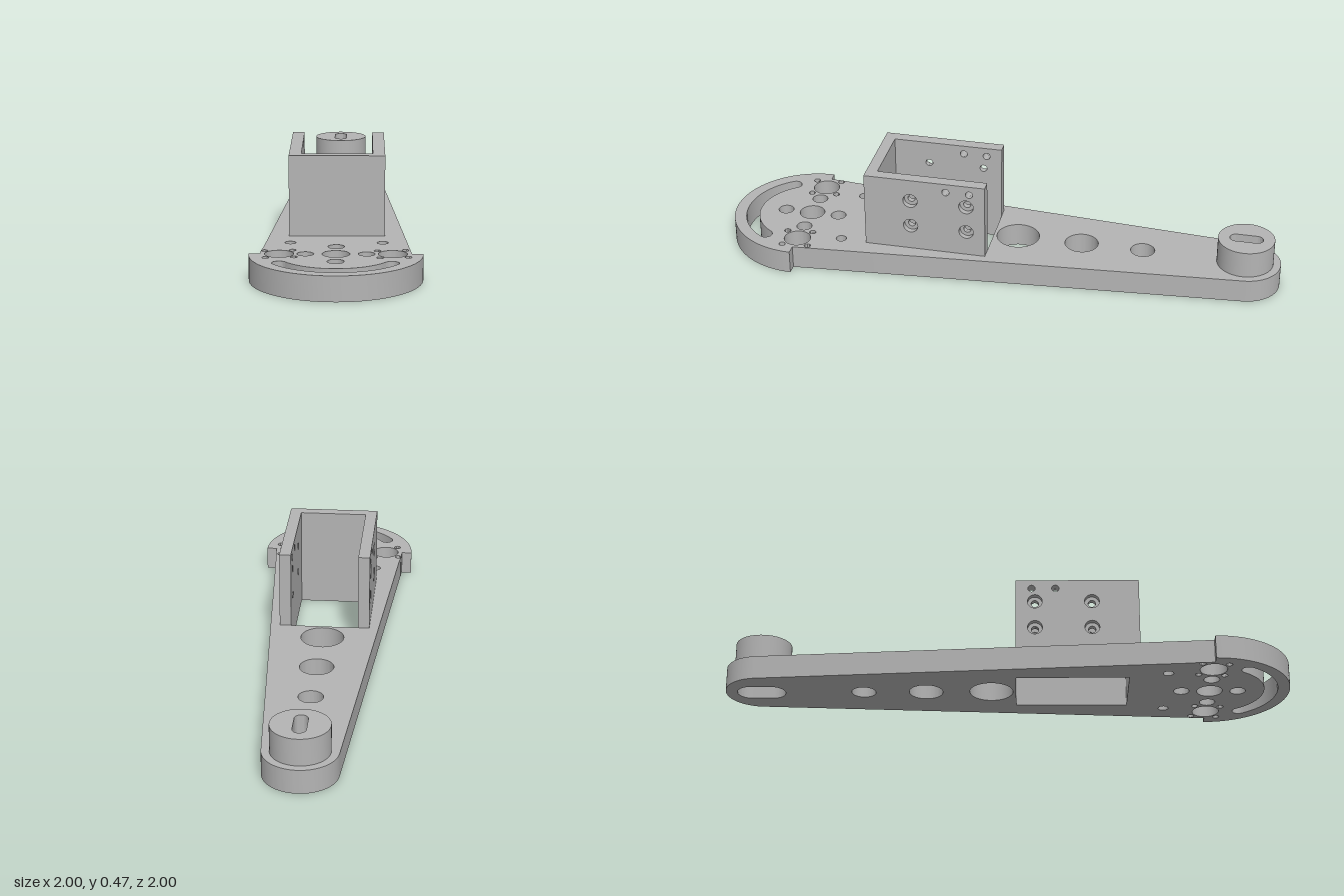
import * as THREE from 'three';
import { toCreasedNormals } from 'three/addons/utils/BufferGeometryUtils.js';

const PLATE_H = 0.11, BIG_U = -0.891, BIG_R = 0.37, SMALL_U = 1.181, SMALL_R = 0.165;

// Round hole
function circle(x, y, r) {
  return new THREE.Path().absarc(x, y, r, 0, Math.PI * 2, false);
}

// Straight slot along x with round ends
function slot(x, y, half, r) {
  const p = new THREE.Path();
  p.absarc(x + half, y, r, -Math.PI / 2, Math.PI / 2, false);
  p.absarc(x - half, y, r, Math.PI / 2, Math.PI * 1.5, false);
  p.closePath();
  return p;
}

// Curved slot centred on the -x side of (x, y)
function arcSlot(x, y, radius, r, spread) {
  const a = Math.PI - spread, b = Math.PI + spread;
  const p = new THREE.Path();
  p.absarc(x, y, radius + r, a, b, false);
  p.absarc(x + radius * Math.cos(b), y + radius * Math.sin(b), r, b, b + Math.PI, false);
  p.absarc(x, y, radius - r, b, a, true);
  p.absarc(x + radius * Math.cos(a), y + radius * Math.sin(a), r, a + Math.PI, a + Math.PI * 2, false);
  return p;
}

function polygon(points, Type = THREE.Shape) {
  return new Type(points.map(([x, y]) => new THREE.Vector2(x, y)));
}

function extrude(shape, depth) {
  return new THREE.ExtrudeGeometry(shape, { depth, bevelEnabled: false, curveSegments: 28 });
}

// Extrude a plan shape (x, z) upwards from y0 to y1
function slab(shape, y0, y1) {
  const g = extrude(shape, y1 - y0);
  g.rotateX(Math.PI / 2);
  g.translate(0, y1, 0);
  return g;
}

export function createModel() {
  const grey = new THREE.MeshStandardMaterial({ color: 0xb4b4b4 });
  grey.name = 'grey';
  const arm = new THREE.Group();
  const add = (name, geometry) => {
    const mesh = new THREE.Mesh(toCreasedNormals(geometry, 0.6), grey);
    mesh.name = name;
    arm.add(mesh);
  };

  // Tapered plate, stepped where it meets the large round end
  const tilt = 0.076;
  const plate = new THREE.Shape();
  plate.moveTo(BIG_U, 0.322);
  plate.lineTo(BIG_U, BIG_R);
  plate.absarc(BIG_U, 0, BIG_R, Math.PI / 2, Math.PI * 1.5, false);
  plate.lineTo(BIG_U, -0.322);
  plate.absarc(SMALL_U, 0, SMALL_R, -Math.PI / 2 + tilt, Math.PI / 2 - tilt, false);
  plate.closePath();

  // Lightening holes, window under the housing, slots
  plate.holes.push(
    circle(0.117, 0, 0.1), circle(0.419, 0, 0.078), circle(0.707, 0, 0.056),
    polygon([[-0.514, -0.157], [0.003, -0.157], [0.003, 0.157], [-0.514, 0.157]], THREE.Path),
    slot(SMALL_U, 0, 0.047, 0.065),
    arcSlot(BIG_U, 0, 0.283, 0.031, 0.98),
    circle(BIG_U, 0, 0.059)
  );
  // Hole patterns of the large end
  for (let i = 0; i < 4; i++) {
    const a = i * Math.PI / 2;
    plate.holes.push(circle(BIG_U + 0.13 * Math.cos(a), 0.13 * Math.sin(a), 0.036));
  }
  for (const s of [-1, 1]) {
    plate.holes.push(circle(-0.689, s * 0.2, 0.024), circle(BIG_U, s * 0.241, 0.062));
    for (let i = 0; i < 4; i++) {
      const a = i * Math.PI / 2 + 0.7;
      plate.holes.push(circle(BIG_U + 0.085 * Math.cos(a), s * 0.241 + 0.085 * Math.sin(a), 0.015));
    }
  }
  add('armPlate', slab(plate, 0, PLATE_H));

  // Slotted boss at the small end, with a recess left below it
  const boss = new THREE.Shape().absarc(SMALL_U, 0, 0.13, 0, Math.PI * 2, false);
  boss.holes.push(slot(SMALL_U, 0, 0.047, 0.03));
  add('slottedBoss', slab(boss, 0.06, 0.235));

  // Housing side walls: inner layer has screw holes, outer layer has wider recesses
  const sideWall = (screwRadius) => {
    const w = polygon([[-0.566, PLATE_H], [0.003, PLATE_H], [0.003, 0.47], [-0.566, 0.47]]);
    for (const u of [-0.348, -0.085])
      for (const y of [0.23, 0.362]) w.holes.push(circle(u, y, screwRadius));
    for (const u of [-0.18, -0.07]) w.holes.push(circle(u, 0.428, 0.017));
    return w;
  };
  for (const s of [-1, 1]) {
    const side = s > 0 ? 'left' : 'right';
    const inner = extrude(sideWall(0.017), 0.027);
    inner.translate(0, 0, s > 0 ? 0.157 : -0.184);
    add(side + 'WallInner', inner);
    const outer = extrude(sideWall(0.034), 0.027);
    outer.translate(0, 0, s > 0 ? 0.184 : -0.211);
    add(side + 'WallOuter', outer);
  }

  // Housing end wall
  const end = new THREE.BoxGeometry(0.052, 0.47 - PLATE_H, 0.314);
  end.translate(-0.54, (0.47 + PLATE_H) / 2, 0);
  add('endWall', end);

  // Lay the arm along the diagonal
  arm.name = 'arm';
  arm.rotation.y = Math.PI / 4;
  const model = new THREE.Group();
  model.name = 'servoArm';
  model.add(arm);
  return model;
}
